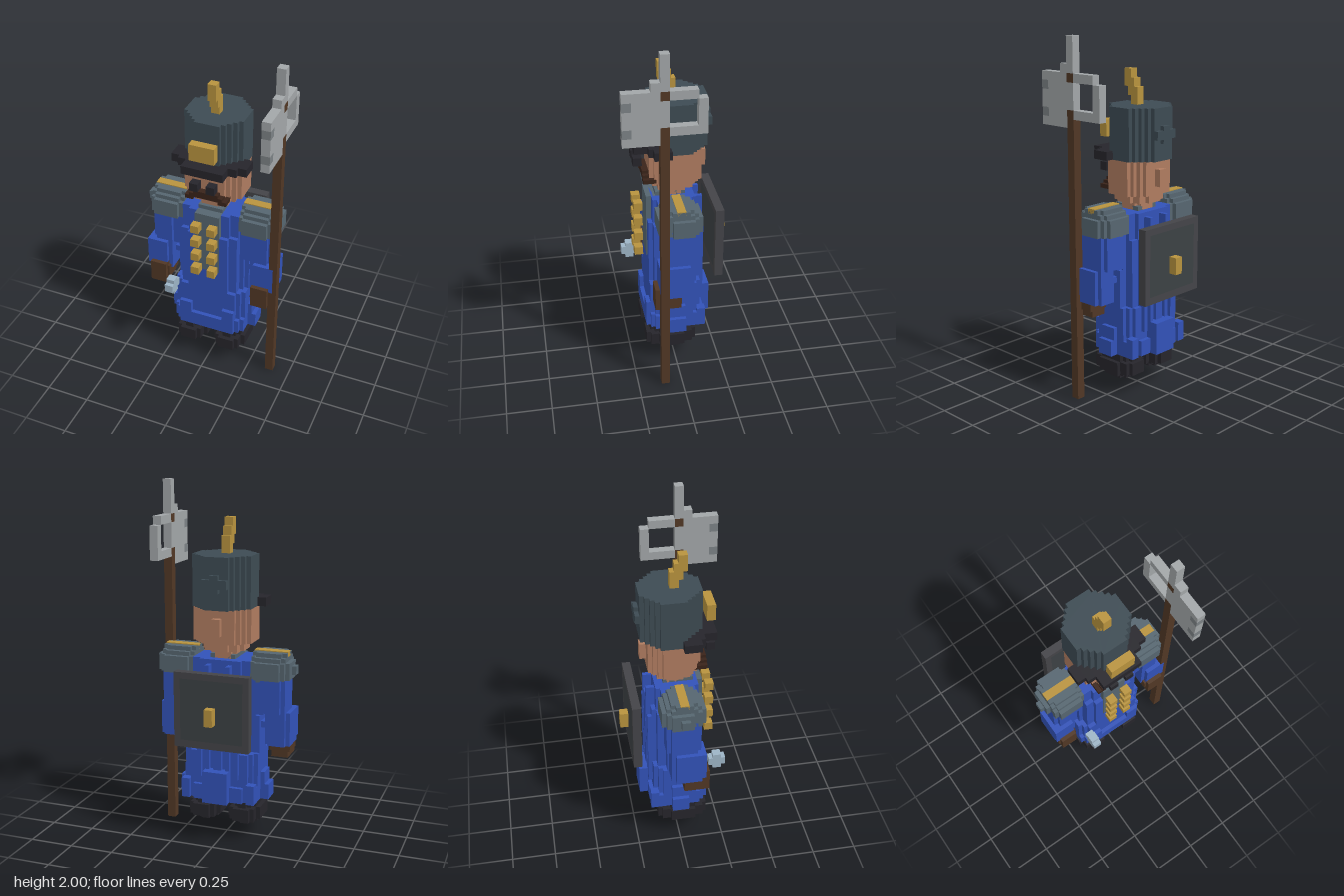
import * as THREE from 'three';

const V = 2 / 42, H = V / 2; // block size and half block

const mat = (color) => new THREE.MeshStandardMaterial({ color, flatShading: true });

export function createModel() {
  const root = new THREE.Group();
  const M = {
    blue: mat(0x3252b8), hat: mat(0x3d4b53), slate: mat(0x566670), gold: mat(0xb8933e),
    skin: mat(0xb07c60), black: mat(0x26252b), brown: mat(0x513725), tache: mat(0x3a241a),
    steel: mat(0xa2a6a8), edge: mat(0x7c8285), rim: mat(0x444448), panel: mat(0x3c4144), gem: mat(0x9db4c6),
  };

  const add = (name, geo, m) => {
    const mesh = new THREE.Mesh(geo, m);
    mesh.name = name;
    root.add(mesh);
    return mesh;
  };
  // Box from its limits, in half blocks
  const box = (name, m, x0, x1, y0, y1, z0, z1) => {
    const b = add(name, new THREE.BoxGeometry((x1 - x0) * H, (y1 - y0) * H, (z1 - z0) * H), m);
    b.position.set((x0 + x1) * H / 2, (y0 + y1) * H / 2, (z0 + z1) * H / 2);
  };
  // The same box on both sides
  const pair = (name, m, x0, x1, ...rest) => {
    box(name + 'Left', m, x0, x1, ...rest);
    box(name + 'Right', m, -x1, -x0, ...rest);
  };
  // Upright prism with a staircase outline that follows a (super)ellipse, in half blocks
  const stepped = (name, m, cx, cz, rx, rz, y0, y1, p = 2) => {
    const pts = [];
    const push = (x, z) => {
      const l = pts[pts.length - 1];
      if (!l || l.x !== x || l.y !== z) pts.push(new THREE.Vector2(x, z));
    };
    for (let z = -rz; z < rz; z++) {
      const t = Math.abs((z + 0.5) / rz);
      const w = Math.max(1, Math.round(rx * Math.pow(1 - Math.pow(t, p), 1 / p)));
      push(w, z);
      push(w, z + 1);
    }
    const mirror = pts.map((q) => new THREE.Vector2(-q.x, q.y)).reverse();
    const outline = pts.concat(mirror).map((q) => new THREE.Vector2((q.x + cx) * H, (q.y + cz) * H));
    const geo = new THREE.ExtrudeGeometry(new THREE.Shape(outline), { depth: (y1 - y0) * H, bevelEnabled: false });
    geo.rotateX(Math.PI / 2).translate(0, y1 * H, 0);
    add(name, geo, m);
  };

  // Boots: rounded stacks of layers [rx, rz, y0, y1]
  for (const s of [1, -1])
    for (const [rx, rz, y0, y1] of [[2, 3, 3.3, 4], [3, 4, 4, 5], [4, 6, 5, 8], [3, 5, 8, 10.3]])
      stepped('boot', M.black, s * 5, 1, rx, rz, y0, y1);

  // Coat, wider at the hem
  stepped('coatHem', M.blue, 0, 0, 9, 7, 10.3, 14, 4);
  stepped('coatSkirt', M.blue, 0, 0, 9, 6, 14, 22, 4);
  stepped('coatWaist', M.blue, 0, 0, 8, 6, 22, 38, 3);
  stepped('coatChest', M.blue, 0, 0, 8, 5, 38, 44, 3);
  pair('hemFlare', M.blue, 8, 11, 10.3, 14, -2, 2);
  pair('hemFold', M.blue, 8, 10, 14, 17, -2, 2);
  pair('hemBackCorner', M.blue, 7, 9, 10.3, 15, -7, -5);
  pair('hemFrontFold', M.blue, 4, 7, 10.3, 17, 5, 7);
  box('tailFold', M.blue, -3, 3, 10.3, 18, -9, -6);

  // Pleats of uneven height: [x0, x1, y0, y1]
  for (const [x0, x1, y0, y1] of [[0, 1, 18, 40], [2, 3, 14, 43], [4, 5, 16, 36]])
    pair('backPleat', M.blue, x0, x1, y0, y1, -7, -5);
  pair('sidePleat', M.blue, 8, 9, 22, 31, -3, 2);

  // Chest panel, collar and two rows of buttons
  box('chestPanel', M.slate, -3, 3, 28, 44, 4, 6.2);
  box('collar', M.slate, -3, 3, 43, 45, -3, 4);
  for (let i = 0; i < 4; i++) pair('button', M.gold, 1, 3, 28.3 + i * 4, 30.3 + i * 4, 7, 9);

  // Arms and rounded shoulder pads
  for (const s of [1, -1]) {
    stepped('upperArm', M.blue, s * 12, 0, 3, 4, 32, 41, 3);
    stepped('forearm', M.blue, s * 13, 1, 3, 4, 24, 32, 3);
    for (const [cx, rx, rz, y0, y1] of [[11, 3, 3, 39, 40], [11, 4, 5, 40, 44], [11, 4, 4, 44, 45], [11, 4, 3, 45, 46]])
      stepped('shoulderPad', M.slate, s * cx, 0, rx, rz, y0, y1, 4);
  }
  pair('armpit', M.blue, 7, 10, 31.3, 42, -3, 3);
  pair('elbowFold', M.blue, 8, 10, 28, 29.5, -2, 2);
  pair('sleeveFold', M.blue, 14, 16, 25, 32, 2, 5);
  pair('glove', M.brown, 11, 15, 20.5, 26, 0, 6);
  pair('gloveCuff', M.brown, 10.5, 15.5, 22, 25, 0, 5);
  pair('padSide', M.slate, 14, 16, 40, 44, -3, 2);
  pair('padStripe', M.gold, 7, 15, 45, 46.2, -1, 1);
  box('padKnob', M.slate, -17, -15, 41, 43, -1, 1);

  // Head
  stepped('neck', M.skin, 0, 0, 3, 3, 44, 47);
  stepped('chin', M.skin, 0, -0.5, 5, 5, 46, 48);
  stepped('head', M.skin, 0, -0.5, 7, 6, 48, 56, 2.5);
  box('headBack', M.skin, -1, 1, 50, 54, -8, -6);
  pair('eye', M.black, 1, 3, 52, 54, 7, 9);
  box('moustache', M.tache, -4, 4, 49, 50, 5, 7);
  box('moustacheMiddle', M.tache, -3, 3, 50, 50.7, 5, 7);
  pair('moustacheTip', M.tache, 3, 5, 48.3, 49.3, 4, 7);

  // Hat with peak, badge and plume
  stepped('hat', M.hat, 0, -1, 7, 7, 56, 68);
  box('hatBackKnot', M.hat, -1, 1, 60, 64, -9, -7);
  pair('hatBackBow', M.hat, 1, 3, 61, 63, -9, -7);
  box('hatPeakFront', M.black, -5, 5, 56, 58, 4, 9);
  pair('hatPeakCorner', M.black, 4, 7, 56, 58, 3, 6);
  pair('hatPeakSide', M.black, 6, 9, 56, 58, 1, 5);
  box('hatBadge', M.gold, -3, 3, 60, 64, 7, 9);
  for (const [y0, y1, z] of [[68, 72, -1], [68, 74, 0], [70, 76, 1], [72, 76, 2]])
    box('plume', M.gold, -1, 1, y0, y1, z, z + 1);

  // Pole arm on the model's left
  box('pole', M.brown, 15, 17, 0, 68, 3, 5);
  box('poleTip', M.brown, 15, 17, 74, 76, 3, 5);
  box('poleSocket', M.steel, 15, 17, 68, 74, 3, 5);
  box('axeBlade', M.steel, 15, 17, 64, 76, 5, 11);
  for (const [y0, y1] of [[64, 66], [68, 72], [74, 76]]) box('axeEdge', M.steel, 15, 17, y0, y1, 11, 13);
  for (const y of [66, 72]) box('axeEdgeNotch', M.edge, 15, 17, y, y + 2, 11, 13);
  box('spike', M.steel, 15, 17, 76, 84, 3, 5);
  box('spikeStep', M.steel, 15, 17, 76, 78, 5, 7);
  box('hookTop', M.steel, 15, 17, 74, 76, -3, 3);
  box('hookBottom', M.steel, 15, 17, 66, 68, -3, 3);
  box('hookBack', M.steel, 15, 17, 66, 74, -5, -3);

  // Square shield behind the back, with rim and boss
  box('shieldPanel', M.panel, -7.5, 7.5, 26, 40.5, -11, -9);
  for (const [y0, y1] of [[24.3, 26], [40.5, 42]]) box('shieldRim', M.rim, -9, 9, y0, y1, -11, -9);
  pair('shieldRimSide', M.rim, 7.5, 9, 26, 40.5, -11, -9);
  box('shieldBoss', M.gold, -1, 1, 30.3, 34.3, -13, -11);

  // Pale knob in front of the right hand
  box('knob', M.gem, -9, -7, 22.2, 24.2, 7, 11);
  box('knobUpright', M.gem, -9, -7, 21.2, 25.2, 8, 10);

  return root;
}
